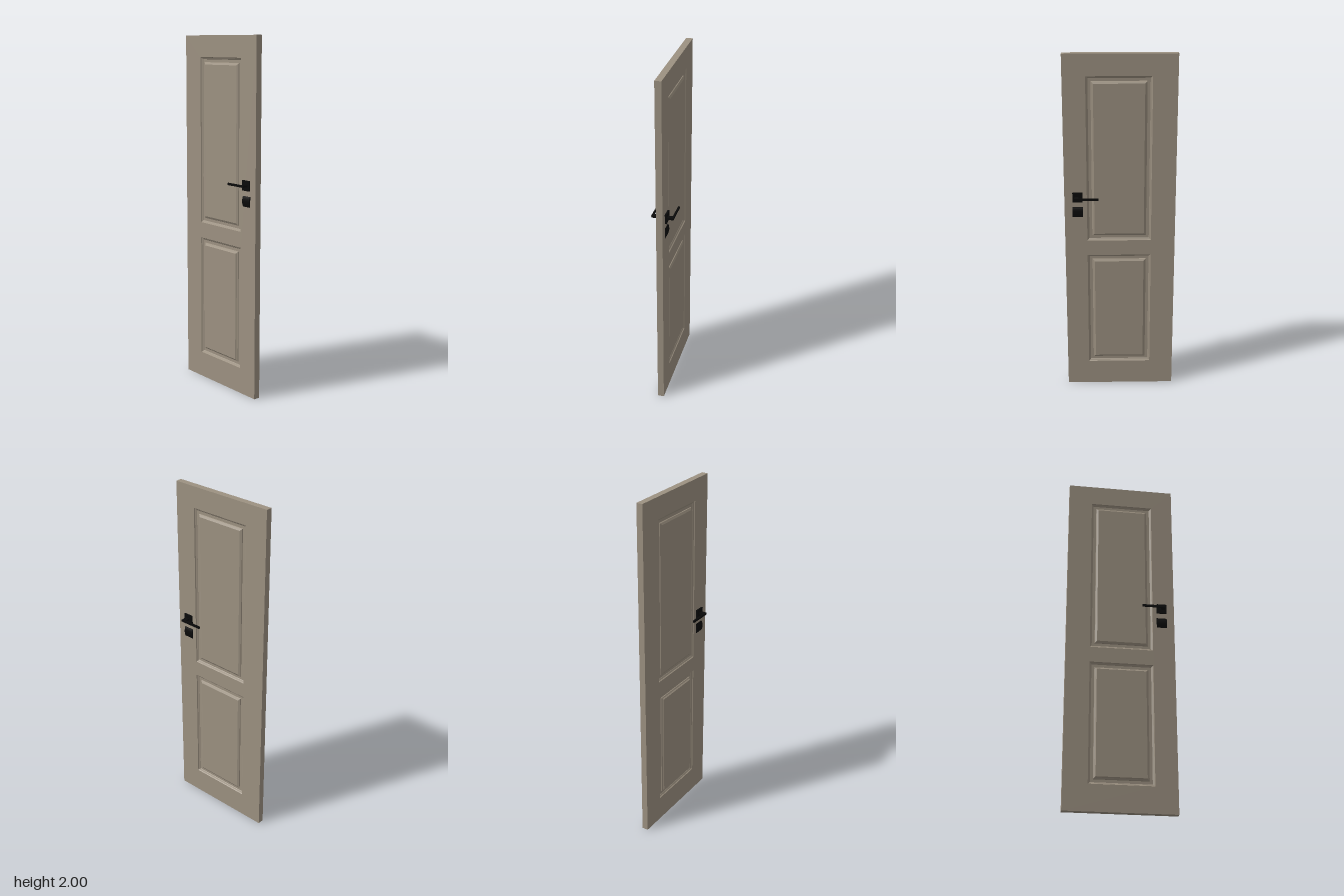
import * as THREE from 'three';

const paint = new THREE.MeshStandardMaterial({ color: 0x9c9181 });
paint.name = 'taupe paint';
const black = new THREE.MeshStandardMaterial({ color: 0x0a0a0a });
black.name = 'black metal';

const HALF = 0.018; // half the door thickness
const PANEL_X = 0.005;
const PANEL_W = 0.36;
const PANELS = [
  { name: 'upper', y0: 0.935, y1: 1.88, field: 0.0175 },
  { name: 'lower', y0: 0.148, y1: 0.845, field: 0.0205 },
];

function add(parent, name, geometry, material, x = 0, y = 0, z = 0) {
  const mesh = new THREE.Mesh(geometry, material);
  mesh.name = name;
  mesh.position.set(x, y, z);
  parent.add(mesh);
  return mesh;
}

// Moulded panel facing +z: rectangular loops, each [inset, z], closed by a flat field
function panelGeometry(w, h, loops) {
  const rings = loops.map(([inset, z]) => {
    const a = w / 2 - inset, b = h / 2 - inset;
    return [[-a, -b, z], [a, -b, z], [a, b, z], [-a, b, z]];
  });
  const pos = [];
  const quad = (a, b, c, d) => pos.push(...a, ...b, ...c, ...a, ...c, ...d);
  for (let i = 0; i + 1 < rings.length; i++) {
    for (let k = 0; k < 4; k++) {
      const n = (k + 1) % 4;
      quad(rings[i][k], rings[i][n], rings[i + 1][n], rings[i + 1][k]);
    }
  }
  quad(...rings[rings.length - 1]);
  const g = new THREE.BufferGeometry();
  g.setAttribute('position', new THREE.Float32BufferAttribute(pos, 3));
  g.computeVertexNormals();
  return g;
}

// Frame of stiles and rails with the panel openings cut out
function frameGeometry() {
  const shape = new THREE.Shape([
    new THREE.Vector2(-0.31, 0), new THREE.Vector2(0.31, 0),
    new THREE.Vector2(0.31, 2), new THREE.Vector2(-0.31, 2),
  ]);
  const l = PANEL_X - PANEL_W / 2, r = PANEL_X + PANEL_W / 2;
  for (const { y0, y1 } of PANELS) {
    shape.holes.push(new THREE.Path([
      new THREE.Vector2(l, y0), new THREE.Vector2(l, y1),
      new THREE.Vector2(r, y1), new THREE.Vector2(r, y0),
    ]));
  }
  return new THREE.ExtrudeGeometry(shape, { depth: 2 * HALF, bevelEnabled: false })
    .translate(0, 0, -HALF);
}

// Square lock cover with a gently domed face, extruded along x
function coverGeometry(size, rise) {
  const s = new THREE.Shape();
  s.moveTo(-0.001, -size / 2);
  s.lineTo(0.003, -size / 2);
  s.quadraticCurveTo(2 * rise - 0.003, 0, 0.003, size / 2);
  s.lineTo(-0.001, size / 2);
  s.closePath();
  return new THREE.ExtrudeGeometry(s, { depth: size, bevelEnabled: false, curveSegments: 10 })
    .translate(0, 0, -size / 2)
    .rotateY(-Math.PI / 2);
}

export function createModel() {
  const door = new THREE.Group();
  door.name = 'door';
  add(door, 'doorFrame', frameGeometry(), paint);

  for (const side of [1, -1]) {
    const label = side > 0 ? 'front' : 'back';

    // Recessed mouldings with raised fields
    for (const { name, y0, y1, field } of PANELS) {
      const top = side > 0 ? field : 0.0175;
      const loops = [
        [0, HALF], [0.003, 0.013], [0.010, 0.009], [0.012, 0.007],
        [0.028, 0.007], [0.030, 0.011], [0.036, 0.0145], [0.041, top],
      ];
      const panel = add(door, `${label}${name}Panel`, panelGeometry(PANEL_W, y1 - y0, loops),
        paint, PANEL_X, (y0 + y1) / 2, 0);
      if (side < 0) panel.rotation.y = Math.PI;
    }

    // Lever handle
    const handle = new THREE.Group();
    handle.name = `${label}LeverHandle`;
    const reach = side > 0 ? 0.060 : 0.062;
    add(handle, 'rosette', new THREE.BoxGeometry(0.056, 0.056, 0.011), black,
      0.237, 1.198, side * (HALF + 0.004));
    add(handle, 'neck', new THREE.BoxGeometry(0.024, 0.012, reach - HALF), black,
      0.242, 1.198, side * (HALF + reach) / 2);
    add(handle, 'lever', new THREE.BoxGeometry(0.134, 0.012, 0.009), black,
      0.187, 1.198, side * (reach - 0.0045));
    door.add(handle);

    // Lock cover below the handle
    const cover = add(door, `${label}LockCover`, coverGeometry(0.058, 0.009), black,
      0.237, 1.11, side * HALF);
    if (side < 0) cover.rotation.y = Math.PI;
  }
  return door;
}
